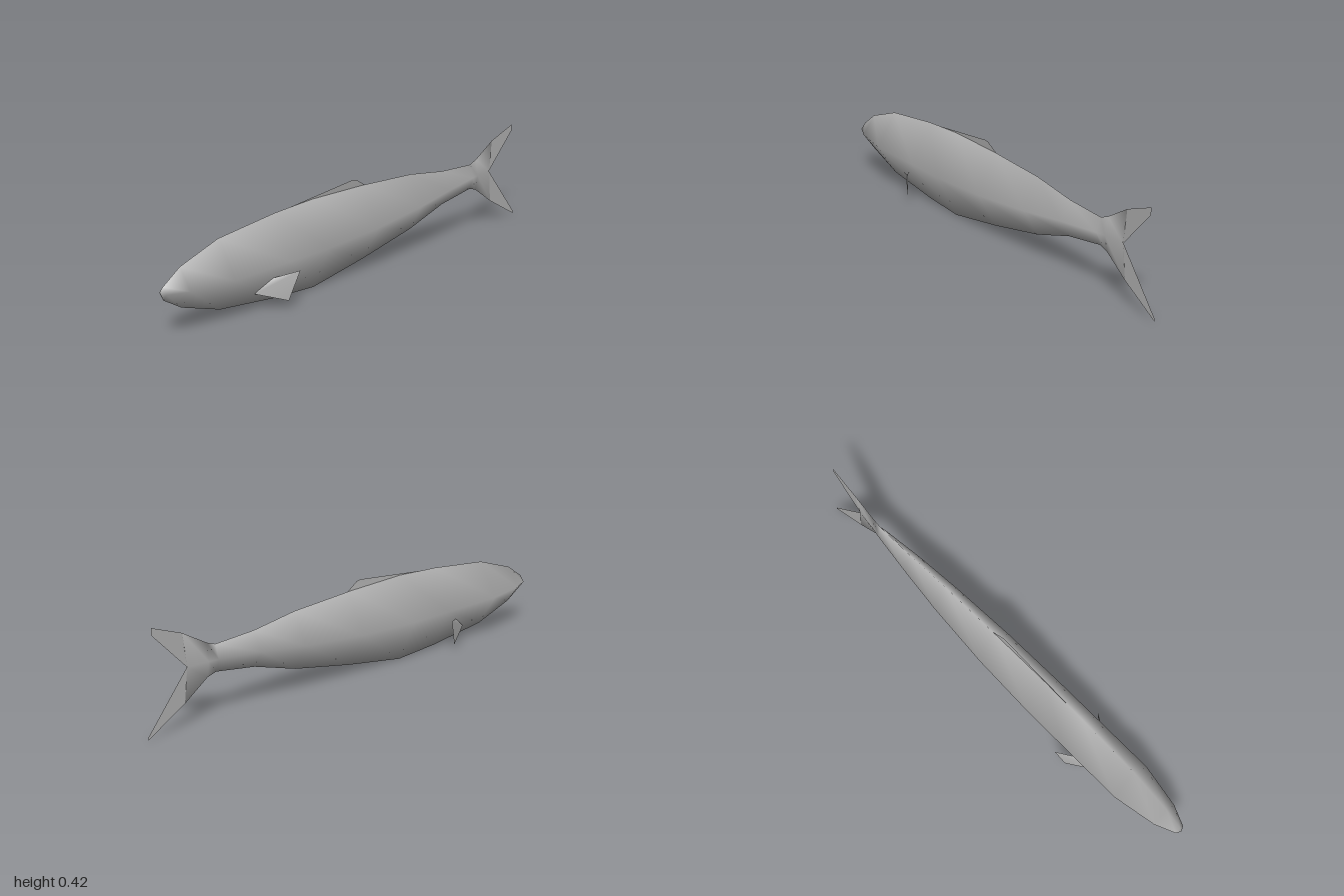
import * as THREE from 'three';

// Smooth surface from indexed points
function surface(points, index, material, name) {
  const g = new THREE.BufferGeometry();
  g.setAttribute('position', new THREE.Float32BufferAttribute(points.flat(), 3));
  g.setIndex(index);
  g.computeVertexNormals();
  const mesh = new THREE.Mesh(g, material);
  mesh.name = name;
  return mesh;
}

// Thin fin from four corners in order around its outline
function fin(corners, material, name) {
  return surface(corners, [0, 1, 2, 0, 2, 3], material, name);
}

export function createModel() {
  const fish = new THREE.Group();
  fish.name = 'fish';
  const skin = new THREE.MeshStandardMaterial({ color: 0xb0b0b0 });
  skin.name = 'bodyGrey';
  const finSkin = skin;
  skin.side = THREE.DoubleSide;

  // Body stations, nose to tail: z, top, bottom, half width, height of the widest edge
  const stations = [
    [0.99, 0.205, 0.155, 0.02, 0.18],
    [0.91, 0.26, 0.105, 0.055, 0.18],
    [0.73, 0.32, 0.045, 0.088, 0.18],
    [0.45, 0.35, 0.012, 0.088, 0.18],
    [0.25, 0.36, 0.0, 0.088, 0.18],
    [-0.03, 0.352, 0.045, 0.081, 0.19],
    [-0.31, 0.335, 0.1, 0.063, 0.21],
    [-0.51, 0.305, 0.16, 0.043, 0.23],
    [-0.69, 0.295, 0.187, 0.02, 0.24],
    [-0.73, 0.31, 0.175, 0.012, 0.24],
  ];
  const points = [];
  const index = [];
  for (const [z, top, bottom, w, mid] of stations) {
    points.push([0, top, z], [-w, mid, z], [0, bottom, z], [w, mid, z]);
  }
  // The tail root fans out into a thin edge
  points.push([0, 0.372, -0.835], [-0.002, 0.238, -0.82], [0, 0.1, -0.835], [0.002, 0.238, -0.82]);
  for (let i = 0; i < stations.length; i++) {
    for (let j = 0; j < 4; j++) {
      const a = i * 4 + j, b = i * 4 + (j + 1) % 4;
      index.push(a, a + 4, b, b, a + 4, b + 4);
    }
  }
  // Nose cap
  const nose = points.length;
  points.push([0, 0.18, 1]);
  for (let j = 0; j < 4; j++) index.push(nose, j, (j + 1) % 4);
  fish.add(surface(points, index, skin, 'body'));

  // Tail lobes
  fish.add(fin([[0, 0.372, -0.835], [0.004, 0.42, -0.965], [0.004, 0.392, -0.965], [0, 0.238, -0.82]],
    finSkin, 'upperTailLobe'));
  fish.add(fin([[0, 0.238, -0.82], [0, 0.015, -1], [0, 0.004, -1], [0, 0.1, -0.835]],
    finSkin, 'lowerTailLobe'));

  // Dorsal fin
  fish.add(fin([[0, 0.352, 0.39], [0.003, 0.387, 0.035], [0.003, 0.384, 0.015], [0, 0.35, -0.04]],
    finSkin, 'dorsalFin'));

  // Pectoral fins
  for (const [s, name] of [[1, 'leftPectoralFin'], [-1, 'rightPectoralFin']]) {
    fish.add(fin([[s * 0.035, 0.075, 0.59], [s * 0.05, 0.122, 0.53],
      [s * 0.119, 0.148, 0.435], [s * 0.097, 0.033, 0.475]], finSkin, name));
  }
  return fish;
}
